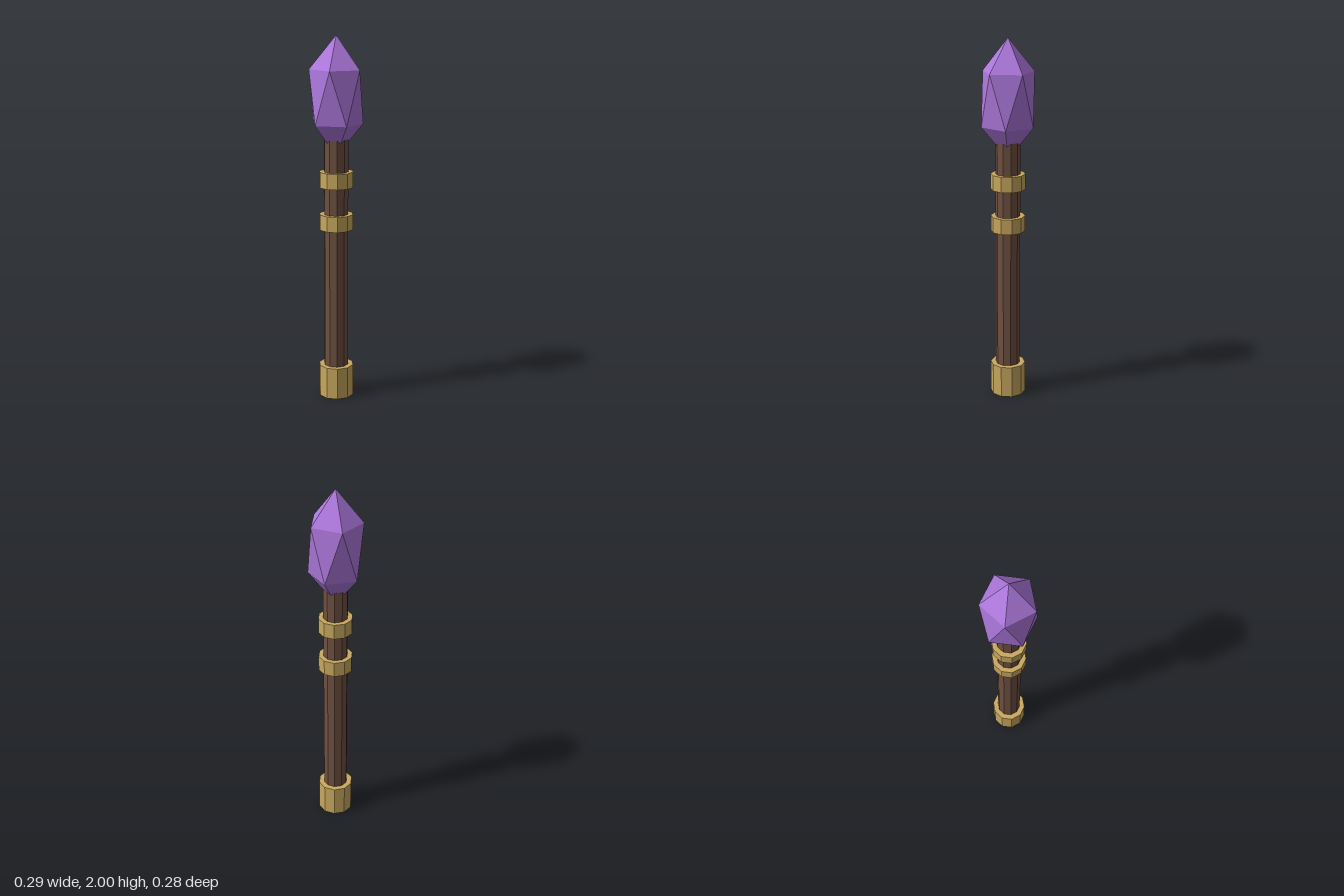
import * as THREE from 'three';

const material = (color) => new THREE.MeshStandardMaterial({ color, flatShading: true });

// Stretched icosahedron standing on a tip: two tips and two staggered five-point rings
function crystalGeometry(centerY, halfHeight, radius) {
  const ringY = halfHeight / Math.sqrt(5);
  const ring = (y, turn) => Array.from({ length: 5 }, (_, i) => {
    const a = (i * 2 * Math.PI) / 5 + turn;
    return [radius * Math.cos(a), centerY + y, -radius * Math.sin(a)];
  });
  const upper = ring(ringY, 0);
  const lower = ring(-ringY, Math.PI / 5);
  const top = [0, centerY + halfHeight, 0];
  const bottom = [0, centerY - halfHeight, 0];
  const positions = [];
  for (let i = 0; i < 5; i++) {
    const n = (i + 1) % 5;
    positions.push(...top, ...upper[i], ...upper[n]);
    positions.push(...upper[i], ...lower[i], ...upper[n]);
    positions.push(...upper[n], ...lower[i], ...lower[n]);
    positions.push(...bottom, ...lower[n], ...lower[i]);
  }
  const geometry = new THREE.BufferGeometry();
  geometry.setAttribute('position', new THREE.Float32BufferAttribute(positions, 3));
  geometry.computeVertexNormals();
  return geometry;
}

export function createModel() {
  const group = new THREE.Group();
  const wood = material(0x6f5141);
  const gold = material(0xcaa95f);
  const purple = material(0xad78dd);

  // Ten-sided prism between two heights
  const addPrism = (name, radius, y0, y1, mat) => {
    const mesh = new THREE.Mesh(new THREE.CylinderGeometry(radius, radius, y1 - y0, 10), mat);
    mesh.position.y = (y0 + y1) / 2;
    mesh.name = name;
    group.add(mesh);
  };

  addPrism('shaft', 0.067, 0.02, 1.45, wood);
  addPrism('pommel', 0.097, 0, 0.178, gold);
  addPrism('lowerBand', 0.094, 0.956, 1.041, gold);
  addPrism('upperBand', 0.094, 1.19, 1.275, gold);

  const crystal = new THREE.Mesh(crystalGeometry(1.677, 0.323, 0.145), purple);
  crystal.name = 'crystal';
  group.add(crystal);

  return group;
}
